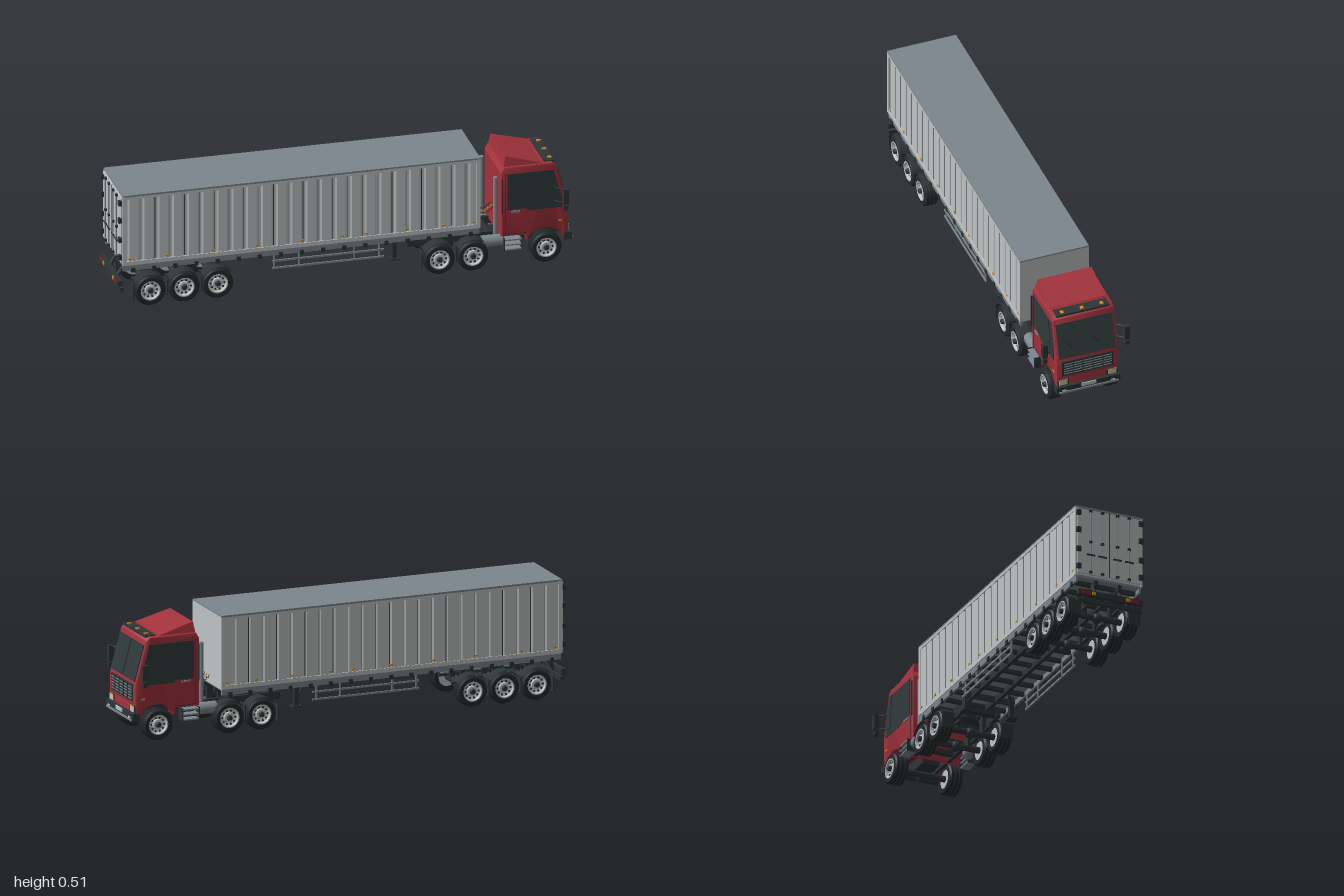
import * as THREE from 'three';
import { toCreasedNormals } from 'three/addons/utils/BufferGeometryUtils.js';

const mat = (name, color, side = THREE.FrontSide) => {
  const m = new THREE.MeshStandardMaterial({ color, side });
  m.name = name;
  return m;
};

export function createModel() {
  const red = mat('cab red', 0xa3323c), light = mat('container grey', 0xbfc3c3);
  const slate = mat('slate grey', 0x7b868d), dark = mat('dark frame', 0x2d3536, THREE.DoubleSide);
  const rubber = mat('tyre black', 0x232a2b), glass = mat('dark glass', 0x303a3b);
  const orange = mat('marker orange', 0xd98a1c), lamp = mat('tail red', 0x8a1f22);
  const truck = new THREE.Group();
  truck.name = 'articulatedTruck';

  const add = (name, geo, m, parent = truck) => {
    const mesh = new THREE.Mesh(geo, m);
    mesh.name = name;
    parent.add(mesh);
    return mesh;
  };
  const group = (name, parent = truck) => {
    const g = new THREE.Group();
    g.name = name;
    parent.add(g);
    return g;
  };
  const box = (name, m, size, pos, parent) => {
    const b = add(name, new THREE.BoxGeometry(...size), m, parent);
    b.position.set(...pos);
    return b;
  };
  // round bar between two points
  const rod = (name, m, a, b, r, parent, sides = 8) => {
    const p = new THREE.Vector3(...a), q = new THREE.Vector3(...b), d = q.clone().sub(p);
    const c = add(name, new THREE.CylinderGeometry(r, r, d.length(), sides), m, parent);
    c.position.copy(p).add(q).multiplyScalar(0.5);
    c.quaternion.setFromUnitVectors(new THREE.Vector3(0, 1, 0), d.normalize());
    return c;
  };
  const shapeOf = (pts) => new THREE.Shape(pts.map((p) => new THREE.Vector2(...p)));
  // side profile extruded across the width, centred on z = 0
  const across = (shape, width, bevel = 0) => {
    const g = new THREE.ExtrudeGeometry(shape, {
      depth: width - 2 * bevel, bevelEnabled: bevel > 0, bevelSize: bevel, bevelThickness: bevel,
      bevelOffset: -bevel, bevelSegments: 2, curveSegments: 16,
    });
    return g.translate(0, 0, -width / 2 + bevel);
  };

  // --- Container: corrugated walls, flat roof, edge frame ---
  const container = group('container');
  const x0 = -0.972, x1 = 0.585, ribs = 24, pitch = (x1 - x0) / ribs;
  const wall = [];
  for (let i = 0; i < ribs; i++) {
    const x = x0 + i * pitch;
    wall.push([x, 0.153], [x + pitch * 0.12, 0.149], [x + pitch * 0.3, 0.149], [x + pitch * 0.42, 0.153]);
  }
  wall.push([x1, 0.153]);
  const outline = [...wall, ...wall.map(([x, z]) => [x, -z]).reverse()];
  const body = new THREE.ExtrudeGeometry(shapeOf(outline), { depth: 0.31, bevelEnabled: false });
  body.rotateX(-Math.PI / 2).translate(0, 0.195, 0);
  add('corrugatedBody', body, light, container);
  box('roof', slate, [1.568, 0.008, 0.312], [-0.193, 0.511, 0], container);
  box('frontWall', light, [0.008, 0.318, 0.31], [0.587, 0.35, 0], container);
  for (const s of [1, -1]) {
    box('bottomRail', light, [1.56, 0.018, 0.008], [-0.193, 0.2, s * 0.152], container);
    box('topRail', light, [1.56, 0.012, 0.008], [-0.193, 0.502, s * 0.152], container);
    for (const x of [-0.968, 0.582]) box('cornerPost', light, [0.018, 0.316, 0.01], [x, 0.35, s * 0.152], container);
    for (let i = 0; i < ribs; i++)
      box('wallSeam', i % 2 ? slate : dark, [0.003, 0.286, 0.002], [x0 + (i + 0.14) * pitch, 0.352, s * 0.1495], container);
    for (const x of [-0.945, -0.785, -0.58, -0.385, -0.19, -0.015, 0.09, 0.27, 0.43, 0.565])
      box('sideMarker', orange, [0.014, 0.007, 0.003], [x, 0.221, s * 0.156], container);
    // rear doors with locking rods and hinges
    box('rearDoor', light, [0.008, 0.3, 0.146], [-0.978, 0.352, s * 0.0755], container);
    for (const z of [0.035, 0.09]) {
      rod('lockingRod', slate, [-0.987, 0.2, s * z], [-0.987, 0.505, s * z], 0.003, container);
      box('lockHandle', dark, [0.006, 0.006, 0.04], [-0.988, 0.29, s * z], container);
      for (const y of [0.21, 0.35, 0.495]) box('rodBracket', dark, [0.01, 0.01, 0.014], [-0.986, y, s * z], container);
    }
    for (const y of [0.23, 0.31, 0.4, 0.48]) box('hinge', dark, [0.014, 0.022, 0.02], [-0.986, y, s * 0.145], container);
  }
  box('doorGap', dark, [0.002, 0.3, 0.003], [-0.983, 0.352, 0], container);

  // --- Trailer chassis ---
  const chassis = group('trailerChassis');
  box('floor', slate, [1.56, 0.01, 0.3], [-0.193, 0.19, 0], chassis);
  for (let i = 0; i < 17; i++) {
    const x = -0.93 + i * 0.0925;
    box('crossMember', dark, [0.018, 0.016, 0.29], [x, 0.176, 0], chassis);
    for (const s of [1, -1]) box('lashingHook', dark, [0.018, 0.02, 0.008], [x, 0.167, s * 0.152], chassis);
  }
  for (const s of [1, -1]) {
    box('sideRail', slate, [1.56, 0.027, 0.01], [-0.193, 0.178, s * 0.147], chassis);
    box('mainBeam', dark, [1.55, 0.028, 0.016], [-0.193, 0.172, s * 0.055], chassis);
    // side guard
    for (const y of [0.104, 0.137]) box('guardRail', slate, [0.49, 0.008, 0.006], [-0.075, y, s * 0.148], chassis);
    for (const x of [-0.31, -0.2, 0.04, 0.15]) box('guardPost', slate, [0.008, 0.064, 0.006], [x, 0.132, s * 0.143], chassis);
    // landing leg
    box('landingLeg', dark, [0.02, 0.1, 0.02], [0.227, 0.125, s * 0.105], chassis);
    box('landingFoot', dark, [0.045, 0.007, 0.04], [0.227, 0.072, s * 0.105], chassis);
    rod('legBrace', dark, [0.227, 0.11, s * 0.105], [0.16, 0.165, s * 0.06], 0.004, chassis);
    // rear underrun frame and lamps
    rod('bumperArm', dark, [-0.935, 0.17, s * 0.06], [-0.982, 0.095, s * 0.06], 0.009, chassis, 6);
    box('tailLamp', lamp, [0.004, 0.014, 0.04], [-0.998, 0.108, s * 0.115], chassis);
    box('tailIndicator', orange, [0.004, 0.014, 0.018], [-0.998, 0.108, s * 0.08], chassis);
  }
  rod('landingShaft', dark, [0.227, 0.14, -0.105], [0.227, 0.14, 0.105], 0.005, chassis);
  box('rearLightBar', dark, [0.02, 0.024, 0.3], [-0.986, 0.108, 0], chassis);
  box('underrunBar', dark, [0.014, 0.02, 0.3], [-0.978, 0.078, 0], chassis);

  // --- Wheels ---
  const lathe = (pts, seg = 32) => toCreasedNormals(
    new THREE.LatheGeometry(pts.map((p) => new THREE.Vector2(...p)), seg).rotateX(Math.PI / 2), 0.6);
  const tyreGeo = lathe([[0.042, 0], [0.06, 0], [0.067, 0.006], [0.068, 0.018], [0.065, 0.019], [0.065, 0.022],
    [0.068, 0.023], [0.068, 0.037], [0.065, 0.038], [0.065, 0.041], [0.068, 0.042], [0.067, 0.054], [0.06, 0.06], [0.042, 0.06]]);
  const rimGeo = lathe([[0, 0.004], [0.042, 0.004], [0.044, 0.061], [0.039, 0.061], [0.036, 0.05], [0.024, 0.046],
    [0.022, 0.054], [0.017, 0.055], [0.001, 0.055]], 24);
  const hubGeo = new THREE.CylinderGeometry(0.01, 0.013, 0.012, 12).rotateX(Math.PI / 2);
  const holeGeo = new THREE.CylinderGeometry(0.0048, 0.0048, 0.004, 8).rotateX(Math.PI / 2);
  const fenderGeo = new THREE.CylinderGeometry(0.076, 0.076, 0.055, 14, 1, true, Math.PI - 1.0, 2.0).rotateX(Math.PI / 2);
  const wheel = (name, x, z, s) => {
    const w = group(name);
    w.position.set(x, 0.068, s * z);
    if (s < 0) w.rotation.y = Math.PI;
    add('tyre', tyreGeo, rubber, w);
    add('rim', rimGeo, light, w);
    add('hub', hubGeo, dark, w).position.z = 0.061;
    for (let i = 0; i < 10; i++) {
      const a = (i * Math.PI) / 5;
      add('rimHole', holeGeo, dark, w).position.set(Math.cos(a) * 0.03, Math.sin(a) * 0.03, 0.0485);
    }
  };
  const trailerX = [-0.856, -0.708, -0.561], driveX = [0.41, 0.557];
  for (const x of [...trailerX, ...driveX, 0.88]) {
    const front = x > 0.8;
    rod('axle', dark, [x, 0.068, -0.12], [x, 0.068, 0.12], 0.014, truck, 12);
    if (!front) add('differential', new THREE.SphereGeometry(0.024, 14, 10), dark).position.set(x, 0.066, 0);
    for (const s of [1, -1]) {
      wheel(front ? 'frontWheel' : 'rearWheel', x, front ? 0.097 : 0.107, s);
      if (front) continue;
      add('mudguard', fenderGeo, dark).position.set(x, 0.068, s * 0.139);
      box('suspensionHanger', dark, [0.025, 0.1, 0.016], [x, 0.118, s * 0.06]);
      box('leafSpring', dark, [0.12, 0.01, 0.016], [x, 0.09, s * 0.07]);
    }
  }
  for (const s of [1, -1]) {
    for (const [x, y] of [[-0.932, 0.065], [-0.782, 0.075], [-0.634, 0.075], [0.333, 0.07], [0.484, 0.085]])
      box('mudFlap', dark, [0.004, 0.07, 0.055], [x, y, s * 0.139]);
  }

  // --- Tractor frame ---
  const tractor = group('tractorFrame');
  for (const s of [1, -1]) {
    box('frameRail', dark, [0.68, 0.032, 0.016], [0.63, 0.122, s * 0.078], tractor);
    rod('airTank', slate, [0.605, 0.112, s * 0.122], [0.695, 0.112, s * 0.122], 0.026, tractor, 18);
    rod('rearStack', slate, [0.667, 0.14, s * 0.115], [0.667, 0.4, s * 0.115], 0.01, tractor, 12);
    for (const y of [0.078, 0.1, 0.122]) box('stepTread', slate, [0.075, 0.006, 0.04], [0.733, y, s * 0.142], tractor);
    for (const x of [0.695, 0.771]) box('stepSide', dark, [0.004, 0.055, 0.04], [x, 0.102, s * 0.142], tractor);
  }
  for (const x of [0.31, 0.48, 0.64, 0.74]) box('frameCrossMember', dark, [0.025, 0.024, 0.15], [x, 0.122, 0], tractor);
  const plate = add('fifthWheel', new THREE.CylinderGeometry(0.07, 0.07, 0.02, 20), dark, tractor);
  plate.position.set(0.485, 0.15, 0);
  box('engineSump', dark, [0.14, 0.04, 0.08], [0.87, 0.105, 0], tractor);
  add('frontDifferential', new THREE.SphereGeometry(0.022, 16, 12), dark, tractor).position.set(0.9, 0.063, 0);
  // coiled supply lines
  [dark, orange, dark].forEach((m, k) => {
    const pts = [];
    for (let i = 0; i <= 40; i++) {
      const t = i / 40, a = t * Math.PI * 16;
      pts.push(new THREE.Vector3(0.59 + 0.095 * t, 0.225 - 0.025 * Math.sin(Math.PI * t) + 0.004 * Math.sin(a),
        (k - 1) * 0.025 + 0.004 * Math.cos(a)));
    }
    add('supplyLine', new THREE.TubeGeometry(new THREE.CatmullRomCurve3(pts), 80, 0.0018, 5), m, tractor);
  });

  // --- Cab shell with wheel arch ---
  const cab = group('cab');
  const shell = shapeOf([[0.685, 0.13], [0.685, 0.425], [0.7, 0.45], [0.912, 0.45], [0.928, 0.435],
    [0.975, 0.265], [0.98, 0.24], [0.98, 0.1], [0.959, 0.1]]);
  shell.absarc(0.88, 0.068, 0.085, 0.386, Math.PI - 0.386, false);
  shell.lineTo(0.792, 0.13);
  add('cabShell', toCreasedNormals(across(shell, 0.28, 0.007), 0.5), red, cab);
  const spoiler = across(shapeOf([[0.7, 0.447], [0.708, 0.495], [0.73, 0.49], [0.865, 0.452], [0.865, 0.447]]), 0.262);
  const sp = spoiler.attributes.position;
  for (let i = 0; i < sp.count; i++) sp.setZ(i, sp.getZ(i) * (1 - (sp.getY(i) - 0.447) * 1.4));
  spoiler.computeVertexNormals();
  add('roofSpoiler', spoiler, red, cab);
  box('sunVisor', dark, [0.05, 0.008, 0.24], [0.903, 0.45, 0], cab);
  for (const z of [-0.09, 0, 0.09]) box('roofLamp', orange, [0.018, 0.005, 0.014], [0.91, 0.456, z], cab);

  // windscreen, tilted back, with divider and wipers
  const screen = group('windscreen', cab);
  screen.position.set(0.956, 0.337, 0);
  screen.rotation.z = 0.27;
  box('windscreenGlass', glass, [0.006, 0.158, 0.256], [0, 0, 0], screen);
  box('centreDivider', dark, [0.004, 0.15, 0.004], [0.004, 0, 0], screen);
  for (const y of [-0.078, 0.078]) box('screenTrim', dark, [0.008, 0.004, 0.258], [0, y, 0], screen);
  for (const z of [0.022, -0.098]) {
    rod('wiperArm', dark, [0.005, -0.062, z], [0.006, -0.035, z + 0.045], 0.0015, screen, 5);
    rod('wiperBlade', rubber, [0.006, -0.038, z + 0.04], [0.006, -0.005, z + 0.071], 0.0022, screen, 5);
  }

  // grille, lamps and bumper
  box('grille', dark, [0.006, 0.074, 0.232], [0.98, 0.208, 0], cab);
  for (let i = 0; i < 5; i++) box('grilleSlat', slate, [0.004, 0.003, 0.216], [0.984, 0.182 + i * 0.0125, 0], cab);
  for (const z of [-0.068, -0.023, 0.023, 0.068]) box('grilleBar', dark, [0.004, 0.07, 0.004], [0.986, 0.208, z], cab);
  box('lowerSeam', dark, [0.002, 0.002, 0.26], [0.9805, 0.164, 0], cab);
  box('bumper', dark, [0.035, 0.034, 0.288], [0.977, 0.106, 0], cab);
  box('bumperStrip', slate, [0.006, 0.009, 0.27], [0.996, 0.095, 0], cab);
  box('numberPlate', light, [0.004, 0.016, 0.066], [0.997, 0.115, 0], cab);

  const windowShape = shapeOf([[0.712, 0.253], [0.712, 0.418], [0.915, 0.418], [0.951, 0.29], [0.951, 0.242], [0.798, 0.242], [0.798, 0.253]]);
  for (const s of [1, -1]) {
    box('headlampBezel', dark, [0.006, 0.032, 0.05], [0.98, 0.139, s * 0.111], cab);
    box('headlamp', light, [0.006, 0.023, 0.038], [0.982, 0.138, s * 0.111], cab);
    box('indicator', orange, [0.006, 0.004, 0.042], [0.982, 0.152, s * 0.111], cab);
    box('fogLamp', light, [0.004, 0.007, 0.016], [0.996, 0.104, s * 0.111], cab);
    add('sideWindow', across(windowShape, 0.005), glass, cab).position.z = s * 0.14;
    box('windowPillar', dark, [0.006, 0.165, 0.003], [0.9, 0.335, s * 0.143], cab).rotation.z = 0.12;
    box('doorRearSeam', dark, [0.003, 0.28, 0.002], [0.705, 0.28, s * 0.1403], cab);
    box('doorLowerSeam', dark, [0.09, 0.002, 0.002], [0.75, 0.14, s * 0.1403], cab);
    box('doorHandle', slate, [0.04, 0.008, 0.005], [0.748, 0.243, s * 0.142], cab);
    box('grabRail', dark, [0.006, 0.16, 0.006], [0.69, 0.32, s * 0.143], cab);
    box('sideMarker', orange, [0.018, 0.007, 0.004], [0.945, 0.182, s * 0.141], cab);
    // mirrors
    box('mainMirror', dark, [0.022, 0.068, 0.022], [0.957, 0.309, s * 0.186], cab);
    box('kerbMirror', dark, [0.02, 0.02, 0.018], [0.957, 0.258, s * 0.186], cab);
    for (const y of [0.275, 0.337]) rod('mirrorArm', dark, [0.915, y, s * 0.138], [0.957, y, s * 0.186], 0.003, cab, 6);
    rod('mirrorStem', dark, [0.957, 0.25, s * 0.18], [0.957, 0.34, s * 0.18], 0.0025, cab, 6);
  }
  return truck;
}
